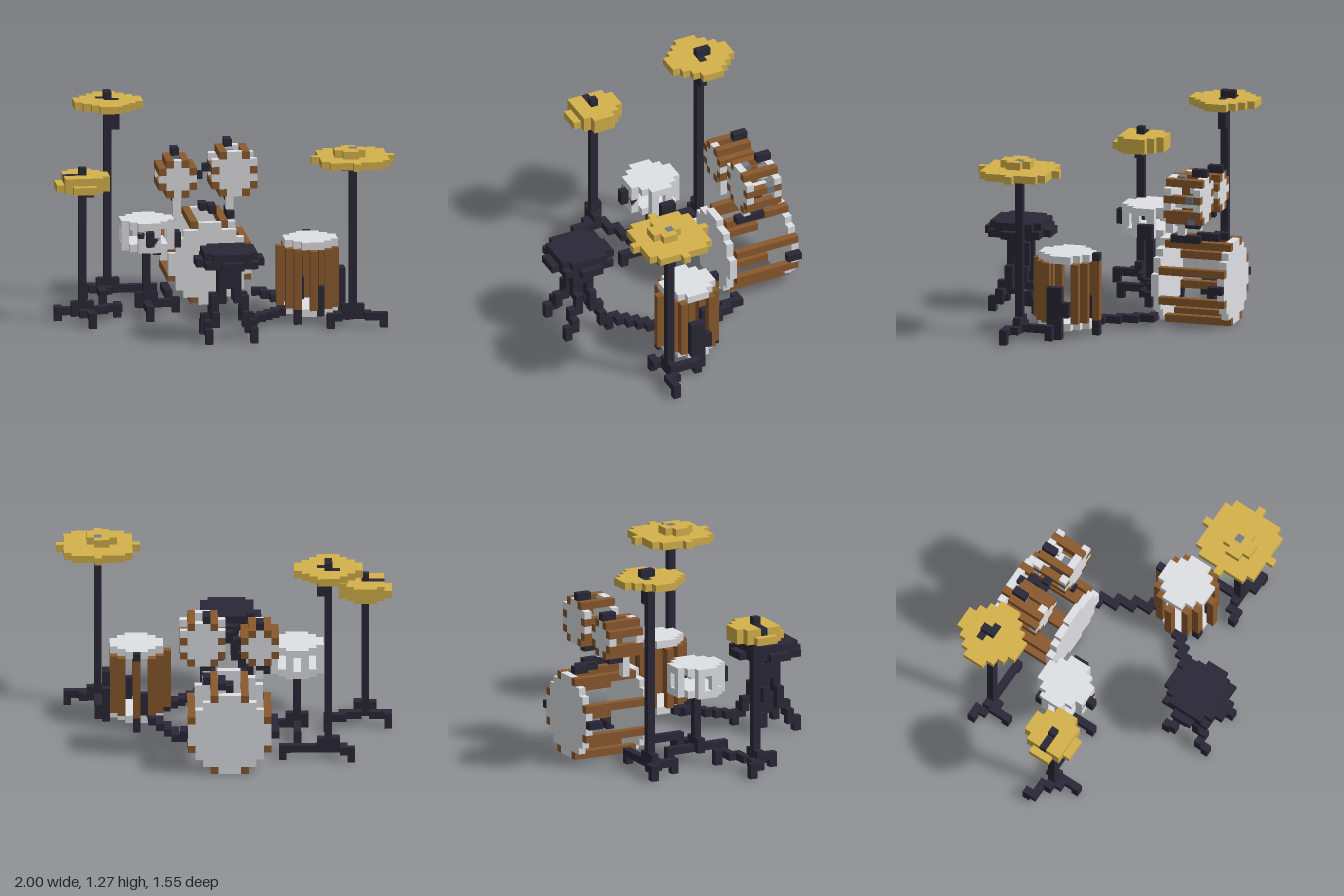
import * as THREE from 'three';
import { mergeGeometries } from 'three/addons/utils/BufferGeometryUtils.js';

// Block units: 44 wide, 28 high, 34 deep
const U = 1 / 22;
const material = (name, color) => Object.assign(new THREE.MeshStandardMaterial({ color }), { name });

// One block run with its low corner at cell (i, j, k)
function block(i, j, k, w = 1, h = 1, d = 1) {
  const g = new THREE.BoxGeometry(w * U, h * U, d * U);
  return g.translate((i + w / 2 - 22) * U, (j + h / 2) * U, (k + d / 2 - 17) * U);
}

// Stepped disc made of rows; (a, b) is the offset from the centre cell
function disc(r, row) {
  const out = [];
  for (let b = -Math.floor(r); b <= r; b++) {
    const a = Math.floor(Math.sqrt(r * r - b * b));
    out.push(row(-a, b, 2 * a + 1));
  }
  return out;
}
const flatDisc = (i, j, k, r) => disc(r, (a, b, w) => block(i + a, j, k + b, w));
const uprightDisc = (i, j, k, r) => disc(r, (a, b, w) => block(i + a, j + b, k, w));

// Stepped chain of cells between two points
function chain(p, q) {
  const n = Math.max(...p.map((v, a) => Math.abs(q[a] - v)));
  const out = [];
  let last = p;
  for (let s = 0; s <= n; s++) {
    const c = p.map((v, a) => Math.round(v + (q[a] - v) * s / n));
    // fill the corner so diagonal steps stay joined
    if (c[0] !== last[0] && c[2] !== last[2]) out.push(block(c[0], c[1], last[2]));
    out.push(block(...c));
    last = c;
  }
  return out;
}

// Pole with a collar, three low legs and feet
function stand(i, k, top, ends) {
  const out = [block(i, 1, k, 1, top - 1, 1), block(i - 1, 1, k, 3, 2, 1)];
  for (const [x, z] of ends) {
    out.push(...chain([i, 1, k], [x, 1, z]), block(x, 0, z));
  }
  return out;
}

export function createModel() {
  const root = new THREE.Group();
  root.name = 'drumKit';
  const dark = material('darkMetal', 0x2a2837);
  const wood = material('brownWood', 0x8a5a2e);
  const white = material('paleGrey', 0xe0e1e5);
  const gold = material('brass', 0xd5b24b);
  const steel = material('steel', 0x747d8c);

  const group = (name) => {
    const g = new THREE.Group();
    g.name = name;
    root.add(g);
    return g;
  };
  const add = (g, name, mat, boxes) => {
    const m = new THREE.Mesh(mergeGeometries(boxes), mat);
    m.name = name;
    g.add(m);
  };

  // Bass drum: two heads joined by open slats
  const kick = group('bassDrum');
  add(kick, 'bassHeads', white, [0, 9].flatMap((k) => uprightDisc(21, 5, k, 5.3)));
  add(kick, 'bassSlats', wood, [[19, 0], [23, 0], [16, 3], [26, 3], [16, 7], [26, 7], [19, 10], [23, 10]]
    .map(([i, j]) => block(i, j, 0, 1, 1, 9)));
  add(kick, 'bassLugs', dark, [
    block(15, 5, 0, 1, 1, 2), block(27, 5, 0, 1, 1, 2), block(21, 11, 1, 1, 1, 2), block(22, 11, 2, 1, 1, 3),
  ]);

  // Hanging toms: slats run right through the rims
  const toms = group('hangingToms');
  add(toms, 'smallTomHeads', white, [3, 7].flatMap((k) => uprightDisc(17, 16, k, 2)));
  add(toms, 'smallTomSlats', wood, [[16, 18], [18, 18], [15, 17], [19, 17], [15, 15], [19, 15], [16, 14], [18, 14]]
    .map(([i, j]) => block(i, j, 3, 1, 1, 5)));
  add(toms, 'largeTomHeads', white, [3, 7].flatMap((k) => [
    block(24, 14, k, 2, 6), block(23, 15, k, 4, 4), block(22, 16, k, 6), block(22, 18, k, 6),
  ]));
  add(toms, 'largeTomSlats', wood, [[23, 19], [26, 19], [22, 17], [27, 17], [22, 15], [27, 15], [23, 14], [26, 14]]
    .map(([i, j]) => block(i, j, 3, 1, 1, 5)));
  add(toms, 'tomStems', white, [
    block(17, 11, 6, 1, 3), block(24, 12, 6, 1, 2), block(25, 16, 4, 1, 1, 3), block(25, 18, 4),
  ]);
  add(toms, 'tomMount', dark, [
    block(20, 16, 5), block(21, 17, 5), block(24, 20, 3, 1, 1, 2), block(17, 19, 3, 1, 1, 2),
    block(24, 11, 4, 1, 1, 4), block(17, 13, 4, 1, 1, 2), block(24, 13, 4, 1, 1, 2),
  ]);
  add(toms, 'tomBolts', steel, [
    block(17, 18, 4), block(24, 19, 6), block(27, 17, 4, 1.05), block(26, 14, 4, 1.05),
  ]);

  // Snare: open frame drum on a stand
  const snare = group('snareDrum');
  add(snare, 'snareShell', white, [
    ...flatDisc(12, 12, 14, 3.3), ...flatDisc(12, 9, 14, 3.3),
    ...[[3, 1], [3, -1], [-3, 1], [-3, -1], [1, 3], [-1, 3], [1, -3], [-1, -3]]
      .map(([a, b]) => block(12 + a, 10, 14 + b, 1, 2)),
  ]);
  add(snare, 'snareLugs', dark, [
    block(12, 10, 18, 1, 2), block(11, 11, 17), block(13, 10, 17), block(16, 9, 13, 1, 2, 2),
  ]);
  add(snare, 'snareStand', dark, stand(12, 14, 9, [[12, 10], [12, 18], [16, 13]]));

  // Floor tom: upright slats around two heads
  const floorTom = group('floorTom');
  add(floorTom, 'floorTomHeads', white, [...flatDisc(33, 10, 19, 3.3), ...flatDisc(33, 1, 19, 3.3)]);
  const slats = [[0, 4], [0, -4], [-4, 0]];
  for (const a of [-1, 1]) for (const b of [-1, 1]) slats.push([3 * a, 2 * b], [2 * a, 3 * b]);
  add(floorTom, 'floorTomSlats', wood, slats.map(([a, b]) => block(33 + a, 2, 19 + b, 1, 8)));
  add(floorTom, 'floorTomLegs', dark, [
    block(37, 1, 19, 1, 6), block(37, 2, 20, 1, 5), block(37, 3, 18, 1, 2),
    block(34, 1, 22, 1, 4), block(32, 1, 16, 1, 4), block(33, 10, 15),
    block(31, 0, 22, 1, 2), block(33, 0, 15, 1, 2), block(37, 0, 19),
  ]);

  // Floor rails linking the pieces
  const rails = group('floorRails');
  add(rails, 'railRight', dark, [...chain([27, 1, 9], [31, 1, 16]), ...chain([30, 1, 20], [24, 1, 26])]);
  add(rails, 'railLeft', dark, chain([15, 2, 9], [15, 2, 13]));

  // Hi-hat
  const hat = group('hiHat');
  add(hat, 'hiHatStand', dark, [
    ...stand(3, 18, 20, [[0, 16], [8, 15], [4, 21]]), block(4, 17, 18), block(3, 20, 18),
  ]);
  add(hat, 'hiHatCymbals', gold, [
    ...flatDisc(3, 18, 18, 3.3),
    block(2, 19, 15, 3), block(1, 19, 16, 5), block(1, 19, 17, 6),
    block(4, 19, 18, 3), block(1, 19, 19, 6), block(1, 19, 20, 5),
  ]);
  add(hat, 'hiHatClutch', dark, [block(1, 19, 18, 3)]);

  // Crash cymbal; cap and bolt pieces sit just proud of the brass
  const proud = 1.03;
  const crash = group('crashCymbal');
  add(crash, 'crashStand', dark, [
    ...stand(8, 5, 26, [[14, 5], [5, 4], [7, 8]]), block(9, 23, 5, 1, 3),
  ]);
  add(crash, 'crashPlate', gold, flatDisc(8, 26, 5, 4.2));
  add(crash, 'crashCap', dark, [
    block(8, 27, 4, 1, 1, 2), block(7, 26, 4, 1, proud), block(9, 26, 5, 1, proud),
  ]);

  // Ride cymbal
  const ride = group('rideCymbal');
  add(ride, 'rideStand', dark, [
    ...stand(38, 24, 22, [[42, 25], [35, 25], [38, 20]]), block(37, 21, 24),
  ]);
  add(ride, 'ridePlate', gold, [
    ...flatDisc(38, 22, 24, 5.05), block(36, 23, 24, 4, 1, 2), block(37, 23, 23, 2, 1, 4),
  ]);
  add(ride, 'rideBolt', steel, [block(38, 23, 24, 1, proud)]);

  // Throne: padded round seat on splayed stepped legs
  const throne = group('throne');
  add(throne, 'seat', dark, [...flatDisc(21, 10, 29, 4.3), ...flatDisc(21, 11, 29, 3.65)]);
  const legs = [block(20, 7, 29, 3, 3, 2)];
  for (const s of [-1, 1]) {
    for (const f of [-1, 1]) {
      const z = (n) => 29 + f * n;
      legs.push(
        block(21 + s, 5, z(1), 1, 4), block(21 + 2 * s, 3, z(1), 1, 3),
        block(21 + 2 * s, 2, z(2), 1, 2), block(21 + 3 * s, 1, z(2), 1, 2),
        block(21 + 3 * s, 0, z(3), 1, 2),
      );
    }
  }
  add(throne, 'throneLegs', dark, legs);

  return root;
}
